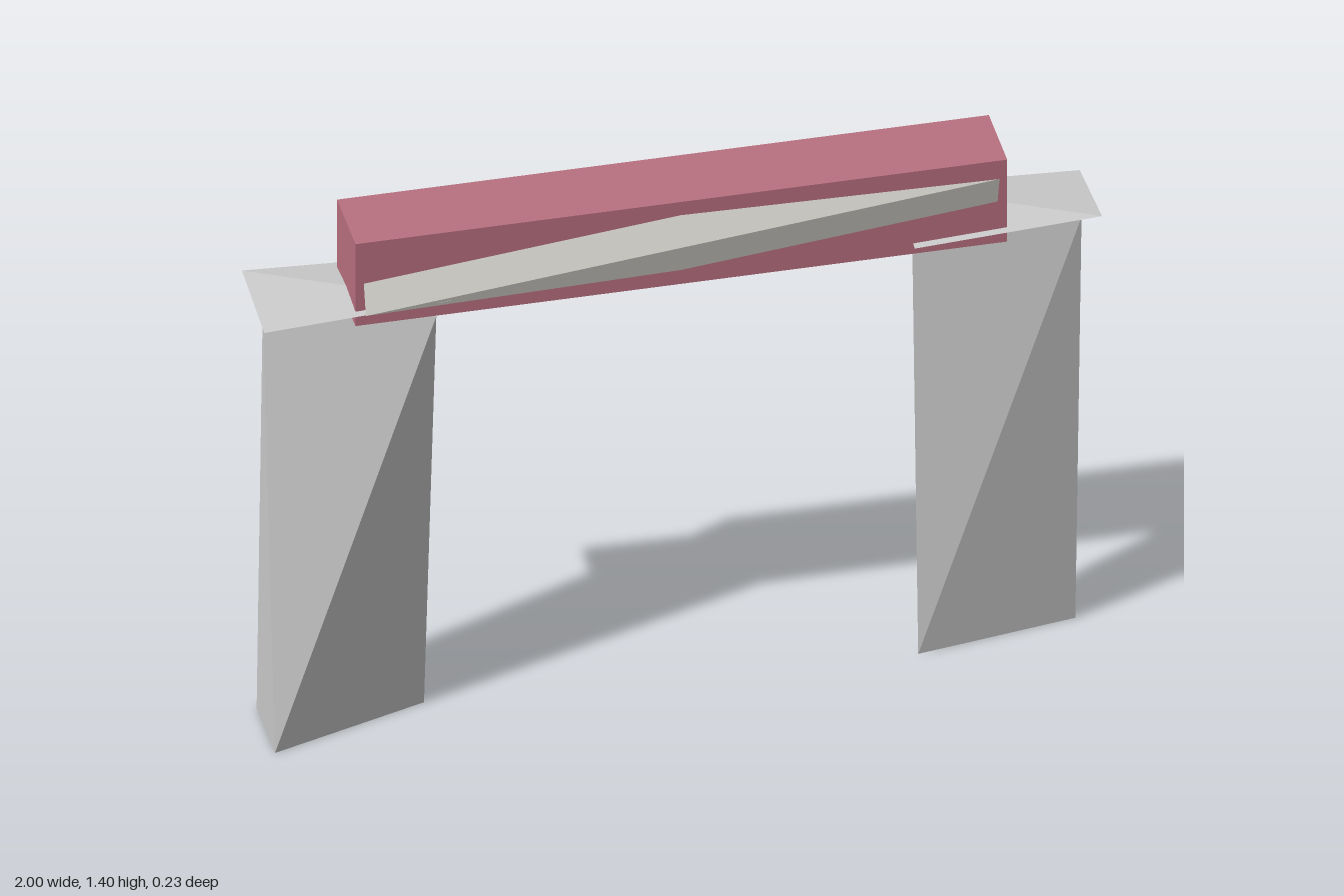
import * as THREE from 'three';
import { ConvexGeometry } from 'three/addons/geometries/ConvexGeometry.js';

const material = (color) => new THREE.MeshStandardMaterial({ color, flatShading: true });

// Faceted solid spanned by a few corner points
function hull(name, points, mat) {
  const geometry = new ConvexGeometry(points.map((p) => new THREE.Vector3(...p)));
  const mesh = new THREE.Mesh(geometry, mat);
  mesh.name = name;
  return mesh;
}

export function createModel() {
  const group = new THREE.Group();
  group.name = 'gate';
  const grey = material(0xcccccc);
  const red = material(0xb97080);
  const cream = material(0xe6e3dc);

  // Crossbeam
  const beam = new THREE.Mesh(new THREE.BoxGeometry(1.556, 0.23, 0.19), red);
  beam.name = 'crossbeam';
  beam.position.y = 1.285;
  group.add(beam);

  const top = 1.168;

  // Left post: slim twisted wedge
  group.add(hull('leftPost', [
    [0.58, 0, 0.032], [0.97, 0, -0.032],
    [0.97, top, 0.032], [0.58, top, -0.032],
  ], grey));

  // Right post: thicker, with one broad and one pointed side at each end
  group.add(hull('rightPost', [
    [-0.97, 0, 0.095], [-0.97, 0, -0.095], [-0.585, 0, -0.032],
    [-0.585, top, 0.095], [-0.585, top, -0.095], [-0.97, top, -0.032],
  ], grey));

  // Thin cap plates over both posts, with two opposite corners raised
  for (const [name, x0, x1] of [['leftCap', 0.553, 1], ['rightCap', -1, -0.553]]) {
    group.add(hull(name, [
      [x0, 1.22, -0.117], [x1, 1.22, 0.114],
      [x0, 1.197, 0.114], [x1, 1.197, -0.117],
    ], grey));
  }

  // Front trim strip, half sunk into the beam
  group.add(hull('frontStrip', [
    [-0.758, 1.209, 0.116], [0.755, 1.363, 0.116],
    [-0.758, 1.363, 0.074], [0.755, 1.209, 0.074],
  ], cream));

  return group;
}
